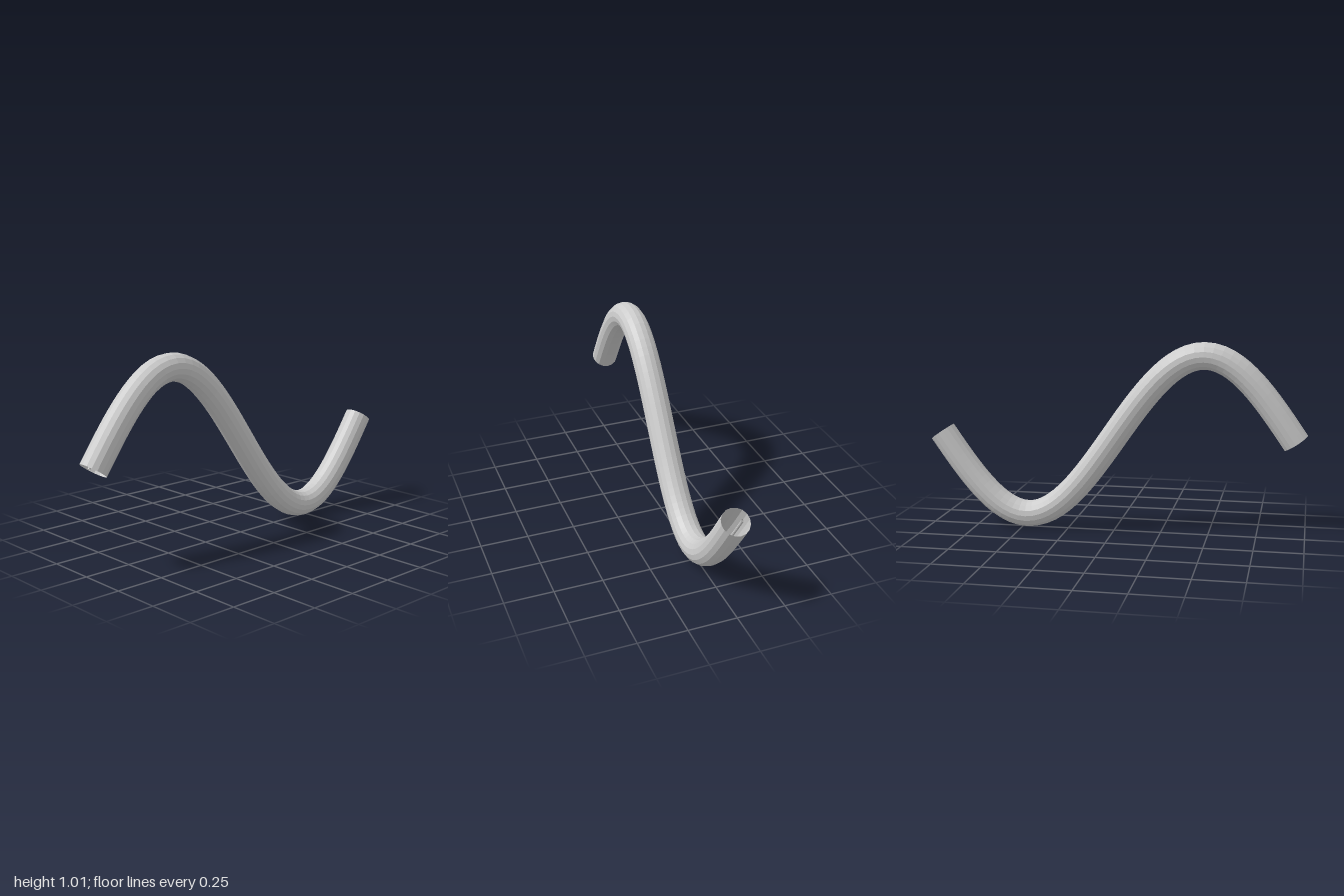
import * as THREE from 'three';

// One full sine period in the xy plane, offset sideways by z
class WaveCurve extends THREE.Curve {
  constructor(z = 0) {
    super();
    this.z = z;
  }
  getPoint(t, target = new THREE.Vector3()) {
    const halfLength = 0.942, amplitude = 0.435, middle = 0.507;
    return target.set(
      halfLength * (2 * t - 1),
      middle + amplitude * Math.sin(2 * Math.PI * t),
      this.z
    );
  }
}

export function createModel() {
  const model = new THREE.Group();
  model.name = 'wavyPipe';
  const material = new THREE.MeshStandardMaterial({
    color: 0xcccccc, flatShading: true, side: THREE.DoubleSide
  });

  const addTube = (name, z, radius, sides) => {
    const mesh = new THREE.Mesh(
      new THREE.TubeGeometry(new WaveCurve(z), 64, radius, sides, false), material);
    mesh.name = name;
    model.add(mesh);
  };

  // Open-ended outer pipe
  addTube('pipe', 0, 0.071, 16);
  // Thin strand running inside, just visible at the open ends
  addTube('innerStrand', -0.034, 0.007, 8);

  return model;
}
